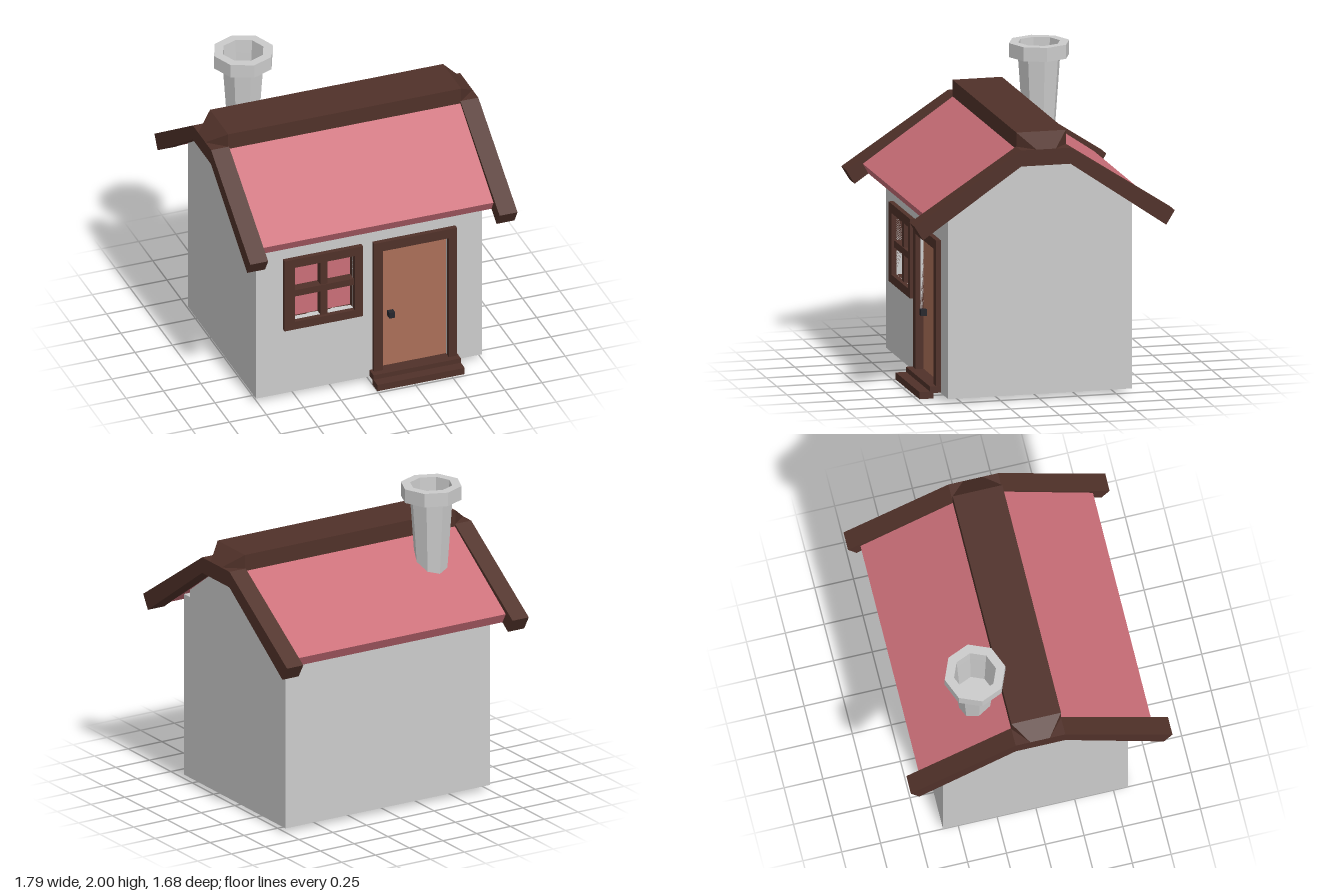
import * as THREE from 'three';
import { ConvexGeometry } from 'three/addons/geometries/ConvexGeometry.js';

const mat = (color) => new THREE.MeshStandardMaterial({ color, flatShading: true });
const grey = mat(0xcccccc);
const stone = mat(0xcccccc);
const tile = mat(0xca6e78);
const timber = mat(0x503129);
const doorWood = mat(0xab6f58);
const iron = mat(0x26262c);

export function createModel() {
  const house = new THREE.Group();
  house.name = 'cottage';

  const add = (name, geometry, material, parent = house) => {
    const mesh = new THREE.Mesh(geometry, material);
    mesh.name = name;
    parent.add(mesh);
    return mesh;
  };
  // box given by its two extreme corners
  const box = (name, x0, x1, y0, y1, z0, z1, material, parent) => {
    const g = new THREE.BoxGeometry(x1 - x0, y1 - y0, z1 - z0);
    g.translate((x0 + x1) / 2, (y0 + y1) / 2, (z0 + z1) / 2);
    return add(name, g, material, parent);
  };
  const shapeOf = (points) => new THREE.Shape(points.map(([a, b]) => new THREE.Vector2(a, b)));
  const rect = (x0, x1, y0, y1) => [[x0, y0], [x1, y0], [x1, y1], [x0, y1]];
  // outline in (z, y) swept along x
  const sweepX = (name, points, x0, x1, material, parent) => {
    const g = new THREE.ExtrudeGeometry(shapeOf(points), { depth: x1 - x0, bevelEnabled: false });
    g.rotateY(-Math.PI / 2).translate(x1, 0, 0);
    return add(name, g, material, parent);
  };
  // outline in (x, y) with holes, swept along z
  const sweepZ = (name, points, holes, z0, z1, material, parent) => {
    const shape = shapeOf(points);
    holes.forEach((h) => shape.holes.push(shapeOf(h)));
    const g = new THREE.ExtrudeGeometry(shape, { depth: z1 - z0, bevelEnabled: false });
    g.translate(0, 0, z0);
    return add(name, g, material, parent);
  };

  // walls: gabled body and a front panel pierced for window and door
  const windowHole = rect(-0.51, -0.11, 0.555, 0.95);
  const doorHole = rect(0.08, 0.52, 0.07, 0.945);
  sweepX('walls', [[-0.6, 0.03], [0.52, 0.03], [0.52, 1.28], [0.155, 1.54], [-0.165, 1.54], [-0.6, 1.235]],
    -0.76, 0.755, grey);
  sweepZ('frontWall', rect(-0.76, 0.755, 0.03, 1.23), [windowHole, doorHole], 0.52, 0.59, grey);

  // roof slopes
  const roof = new THREE.Group();
  roof.name = 'roof';
  house.add(roof);
  sweepX('frontRoofSlope', [[0.15, 1.617], [0.15, 1.54], [0.70, 1.15], [0.737, 1.215]], -0.78, 0.78, tile, roof);
  sweepX('backRoofSlope', [[-0.16, 1.617], [-0.76, 1.21], [-0.722, 1.145], [-0.16, 1.54]], -0.78, 0.78, tile, roof);

  // gable beams
  const beam = [[0.845, 1.18], [0.155, 1.63], [-0.165, 1.63], [-0.84, 1.19],
    [-0.785, 1.10], [-0.165, 1.527], [0.155, 1.527], [0.79, 1.09]];
  sweepX('leftGableBeam', beam, 0.775, 0.895, timber, roof);
  sweepX('rightGableBeam', beam, -0.895, -0.775, timber, roof);

  // ridge beam with tapered ends
  const ridge = [];
  for (const s of [-1, 1]) {
    for (const y of [1.535, 1.72]) {
      ridge.push(new THREE.Vector3(s * 0.78, y, 0.155), new THREE.Vector3(s * 0.78, y, -0.165));
    }
    ridge.push(new THREE.Vector3(s * 0.895, 1.63, 0.055), new THREE.Vector3(s * 0.895, 1.63, -0.07));
  }
  add('ridgeBeam', new ConvexGeometry(ridge), timber, roof);

  // hollow eight-sided chimney: shaft, collar and sunken floor in one profile
  const profile = [[0, 1.4], [0.1, 1.4], [0.137, 1.91], [0.195, 1.91], [0.195, 2],
    [0.135, 2], [0.13, 1.91], [0.115, 1.62], [0, 1.62]].map(([r, y]) => new THREE.Vector2(r, y));
  add('chimney', new THREE.LatheGeometry(profile, 8), stone).position.set(-0.495, 0, -0.33);

  // window
  const win = new THREE.Group();
  win.name = 'window';
  house.add(win);
  sweepZ('windowFrame', rect(-0.58, -0.055, 0.5, 1.01), [windowHole], 0.53, 0.622, timber, win);
  box('windowPane', -0.52, -0.1, 0.545, 0.96, 0.515, 0.54, tile, win);
  box('verticalBar', -0.33, -0.285, 0.55, 0.955, 0.53, 0.6, timber, win);
  box('horizontalBar', -0.515, -0.105, 0.73, 0.775, 0.53, 0.605, timber, win);

  // door
  const door = new THREE.Group();
  door.name = 'door';
  house.add(door);
  sweepZ('doorFrame', [[0.02, 0.07], [0.08, 0.07], [0.08, 0.945], [0.52, 0.945], [0.52, 0.07],
    [0.575, 0.07], [0.575, 1.01], [0.02, 1.01]], [], 0.53, 0.622, timber, door);
  box('doorPanel', 0.07, 0.53, 0.06, 0.955, 0.53, 0.57, doorWood, door);
  box('doorKnob', 0.127, 0.165, 0.435, 0.475, 0.56, 0.61, iron, door);

  // doorstep
  box('upperStep', 0, 0.585, 0.035, 0.077, 0.57, 0.662, timber);
  box('lowerStep', 0, 0.585, 0, 0.045, 0.64, 0.73, timber);

  return house;
}
